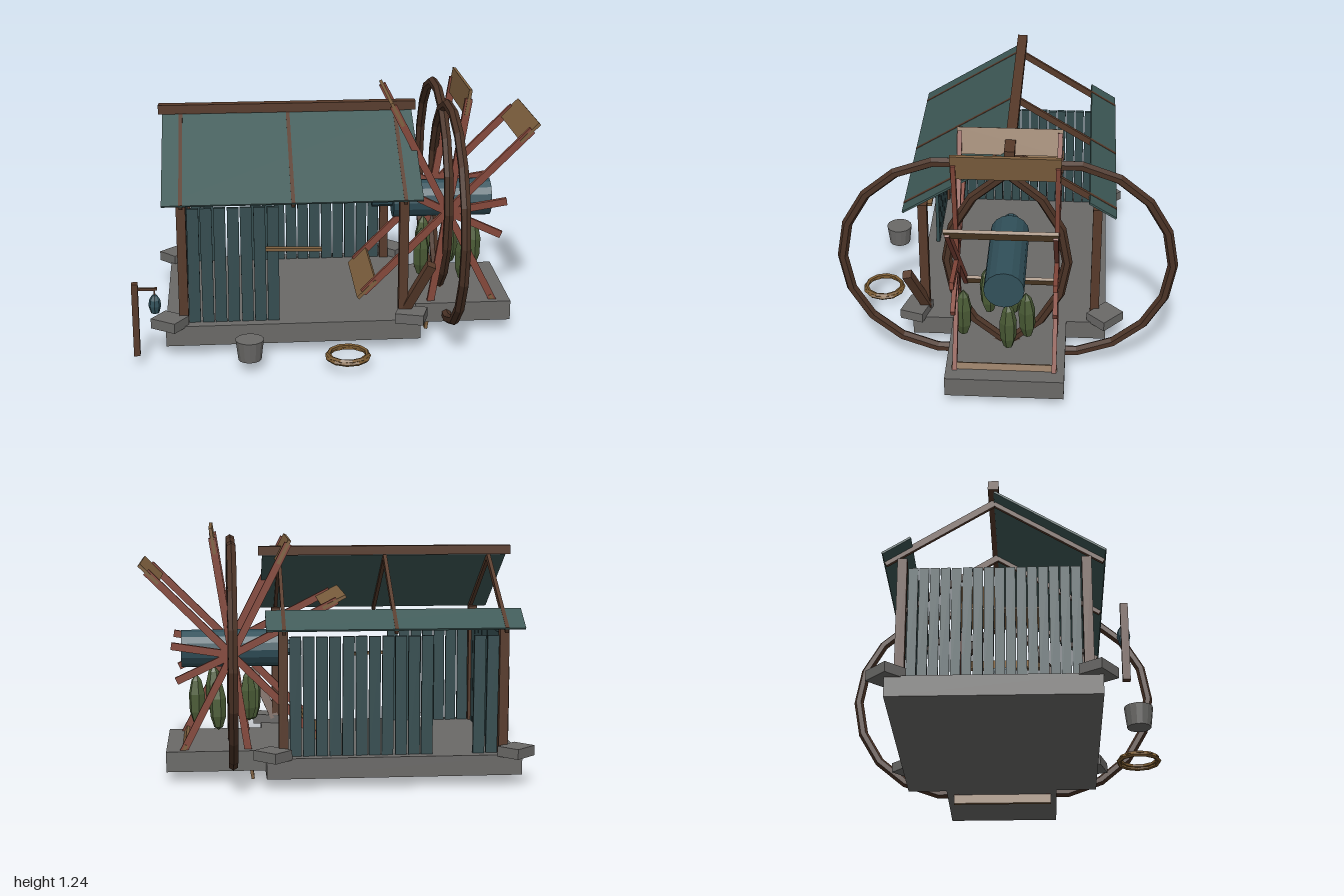
import * as THREE from 'three';

const mat = (name, color) => {
  const m = new THREE.MeshStandardMaterial({ color });
  m.name = name;
  m.flatShading = true;
  return m;
};

export function createModel() {
  const root = new THREE.Group();
  const M = {
    stone: mat('grey stone', 0x6a6967),
    timber: mat('brown timber', 0x573a2a),
    rim: mat('dark rim wood', 0x4a3225),
    red: mat('red brown wood', 0x84473a),
    tan: mat('tan wood', 0x7d5f3e),
    rope: mat('rope', 0x7a5a30),
    roof: mat('teal roof', 0x3d5856),
    plank: mat('teal plank', 0x344c4f),
    drum: mat('blue teal', 0x31505a),
    green: mat('green', 0x4b5c36),
  };

  let seed = 7;
  const rnd = () => {
    seed = (seed * 16807) % 2147483647;
    return seed / 2147483647 - 0.5;
  };
  const add = (name, geo, m, x = 0, y = 0, z = 0, parent = root) => {
    const mesh = new THREE.Mesh(geo, m);
    mesh.name = name;
    mesh.position.set(x, y, z);
    parent.add(mesh);
    return mesh;
  };
  const box = (name, w, h, d, m, x, y, z, parent) =>
    add(name, new THREE.BoxGeometry(w, h, d), m, x, y, z, parent);
  // square beam between two points
  const beam = (name, a, b, t, m) => {
    const p = new THREE.Vector3(...a), q = new THREE.Vector3(...b);
    const mesh = box(name, t, p.distanceTo(q), t, m, 0, 0, 0);
    mesh.position.copy(p).add(q).multiplyScalar(0.5);
    mesh.quaternion.setFromUnitVectors(new THREE.Vector3(0, 1, 0), q.sub(p).normalize());
    return mesh;
  };

  // foundations
  box('houseFoundation', 1.24, 0.1, 0.97, M.stone, -0.23, 0.11, 0);
  box('wheelFoundation', 0.485, 0.1, 0.57, M.stone, 0.6325, 0.11, -0.003);

  // corner stones and posts
  const corners = [[-0.82, -0.48, 0.76], [-0.83, 0.465, -0.6], [0.36, -0.48, -0.76], [0.345, 0.47, -0.3]];
  for (const [x, z, turn] of corners) {
    box('cornerStone', 0.14, 0.05, 0.12, M.stone, x, 0.178, z).rotation.y = turn;
    box('cornerPost', 0.045, 0.63, 0.045, M.timber, x < 0 ? -0.762 : 0.307, 0.47, Math.sign(z) * 0.427);
  }

  // plank walls: back wall with a gap, partial front wall, full left-hand wall
  const plank = (name, w, d, x, z) => {
    const mesh = box(name, w, 0.58 + rnd() * 0.008, d, M.plank, x, 0.45, z);
    if (w > d) mesh.rotation.z = rnd() * 0.014;
    else mesh.rotation.x = rnd() * 0.014;
  };
  const pitch = 1.02 / 16;
  for (let i = 0; i < 16; i++) {
    const x = -0.74 + (i + 0.5) * pitch;
    if (i < 2 || i > 4) plank('backPlank', 0.056, 0.018, x, -0.427);
    if (i < 7) plank('frontPlank', 0.056, 0.018, x, 0.427);
    plank('sidePlank', 0.018, 0.045, -0.762, -0.4 + (i + 0.5) * 0.05);
  }
  box('doorBar', 0.27, 0.015, 0.03, M.tan, -0.227, 0.53, 0.445).rotation.z = -0.03;

  // roof: full front slope, only the eave strip left on the back slope
  const slope = Math.atan(0.32 / 0.515);
  const roofY = (z) => 1.1 - Math.abs(z) * Math.tan(slope);
  const roofStrip = (name, z0, z1, w, t, m, x, drop) => {
    const zc = (z0 + z1) / 2;
    const mesh = box(name, w, t, Math.abs(z1 - z0) / Math.cos(slope), m, x, roofY(zc) - drop, zc);
    mesh.rotation.x = Math.sign(zc) * slope;
  };
  roofStrip('frontRoof', 0, 0.515, 1.24, 0.01, M.roof, -0.23, 0);
  roofStrip('backRoofStrip', -0.385, -0.515, 1.24, 0.01, M.roof, -0.23, 0);
  for (const x of [-0.76, -0.23, 0.305]) {
    for (const s of [-1, 1]) roofStrip('rafter', 0, s * 0.51, 0.018, 0.032, M.timber, x, 0.011);
  }
  box('ridgeBeam', 1.28, 0.045, 0.05, M.timber, -0.23, 1.122, -0.003);

  // drum with its narrow shaft
  const cx = 0.548, cy = 0.63;
  add('drum', new THREE.CylinderGeometry(0.095, 0.095, 0.5, 16), M.drum, 0.55, cy, 0).rotation.z = Math.PI / 2;
  add('drumShaft', new THREE.CylinderGeometry(0.04, 0.04, 0.12, 10), M.drum, 0.255, cy, 0).rotation.z = Math.PI / 2;

  // two overlapping rims
  for (const z of [-0.25, 0.25]) {
    add('wheelRim', new THREE.TorusGeometry(0.537, 0.025, 6, 18), M.rim, cx, cy, z).rotation.y = Math.PI / 2;
  }

  // spokes: angle in degrees, length, whether a paddle remains
  const spokes = [
    [9, 0.3, false], [45, 0.58, true], [81, 0.58, true], [117, 0.61, true], [153, 0.58, true],
    [225, 0.59, true], [261, 0.58, true], [297, 0.55, true], [335, 0.3, false],
  ];
  for (const [deg, len, paddle] of spokes) {
    const arm = new THREE.Group();
    arm.name = 'spokePair';
    arm.position.set(cx, cy, 0);
    arm.rotation.z = THREE.MathUtils.degToRad(deg);
    root.add(arm);
    for (const z of [-0.238, 0.238]) box('spoke', len, 0.036, 0.022, M.red, len / 2, 0, z, arm);
    if (paddle) box('paddle', 0.128, 0.016, 0.505, M.tan, 0.564, 0, 0, arm);
  }

  // hanging green pods
  const pod = [[0, -0.13], [0.022, -0.115], [0.04, -0.06], [0.042, 0.03], [0.026, 0.1], [0, 0.135]]
    .map(([r, y]) => new THREE.Vector2(r, y));
  for (const [x, y, z] of [[0.44, 0.37, 0.1], [0.62, 0.36, -0.1], [0.725, 0.37, -0.015], [0.64, 0.38, 0.205], [0.465, 0.39, -0.03]]) {
    add('greenPod', new THREE.LatheGeometry(pod, 6), M.green, x, y, z).rotation.set(rnd() * 0.1, x * 9, rnd() * 0.1);
  }

  // leaning log by the front right post
  beam('leaningBeam', [0.315, 0.185, 0.42], [0.435, 0.45, 0.5], 0.045, M.timber);

  // lamp post
  box('lampPost', 0.03, 0.365, 0.034, M.timber, -0.985, 0.243, 0.575);
  box('lampArm', 0.1, 0.012, 0.014, M.timber, -0.93, 0.395, 0.575);
  box('lampHook', 0.008, 0.03, 0.008, M.timber, -0.893, 0.378, 0.575);
  const lamp = [[0, -0.05], [0.02, -0.046], [0.03, -0.01], [0.026, 0.02], [0.012, 0.042], [0, 0.045]]
    .map(([r, y]) => new THREE.Vector2(r, y));
  add('lantern', new THREE.LatheGeometry(lamp, 8), M.drum, -0.893, 0.322, 0.575);

  // bucket and coiled rope
  add('bucket', new THREE.CylinderGeometry(0.068, 0.056, 0.1, 14), M.stone, -0.45, 0.11, 0.66);
  for (const [r, y, turn] of [[0.1, 0.069, 0], [0.094, 0.08, 0.3]]) {
    const coil = add('ropeCoil', new THREE.TorusGeometry(r, 0.011, 5, 11), M.rope, 0.015, y, 0.685);
    coil.rotation.set(Math.PI / 2, 0, turn);
  }
  return root;
}
